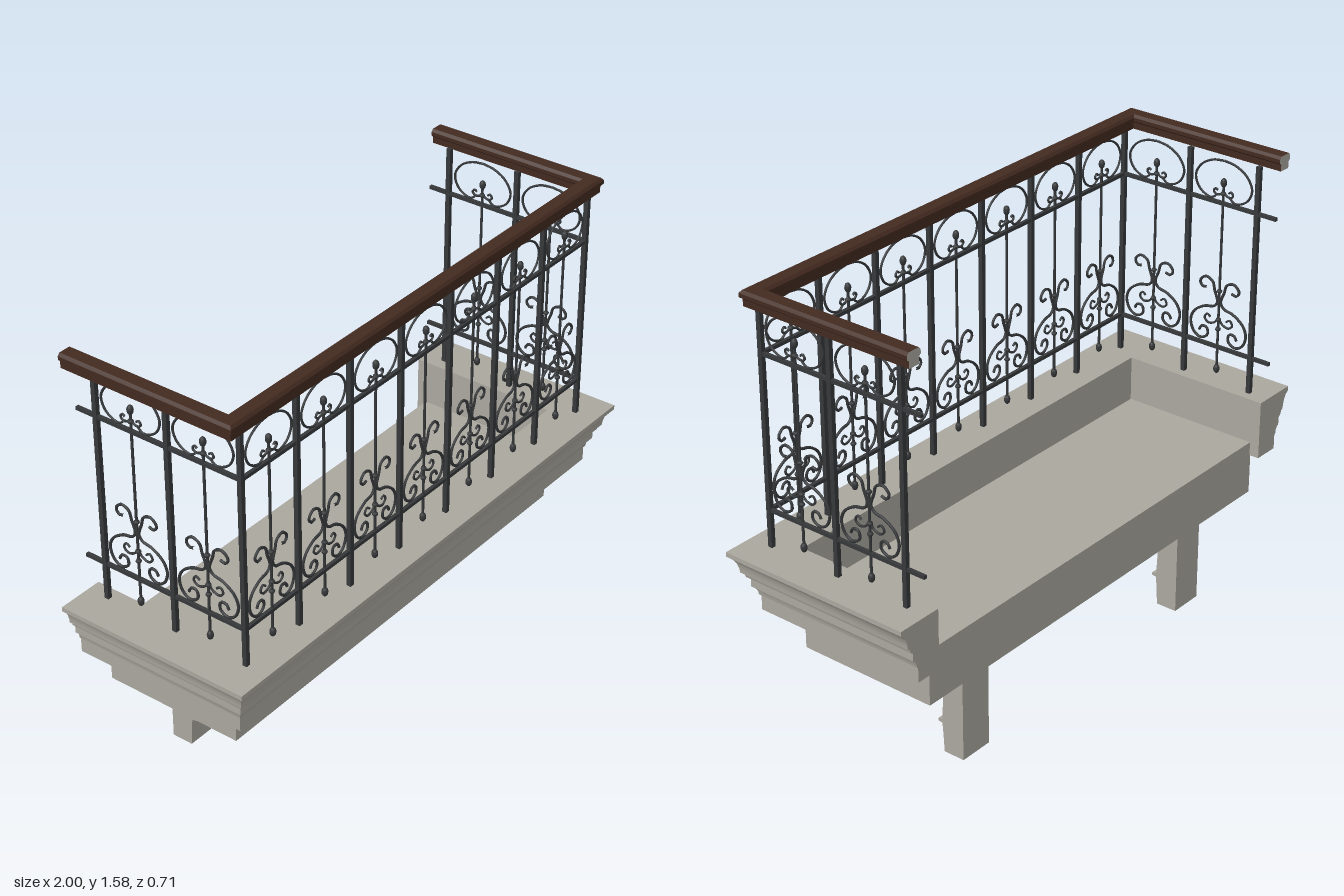
import * as THREE from 'three';
import { toCreasedNormals } from 'three/addons/utils/BufferGeometryUtils.js';

const stone = new THREE.MeshStandardMaterial({ color: 0xaaa79e });
stone.name = 'stone';
const iron = new THREE.MeshStandardMaterial({ color: 0x36383a });
iron.name = 'wrought iron';
const wood = new THREE.MeshStandardMaterial({ color: 0x432a20 });
wood.name = 'dark wood';

function add(parent, name, geometry, material, x = 0, y = 0, z = 0) {
  const mesh = new THREE.Mesh(geometry, material);
  mesh.name = name;
  mesh.position.set(x, y, z);
  parent.add(mesh);
  return mesh;
}

// Box given by its two opposite corners
function block(parent, name, material, a, b) {
  const s = a.map((v, i) => b[i] - v);
  const c = a.map((v, i) => (b[i] + v) / 2);
  return add(parent, name, new THREE.BoxGeometry(...s), material, ...c);
}

// Sweeps a clockwise [outward, height] profile round a mitred U, open at the back.
// Group 0 holds the sides, group 1 the two end caps.
function sweepU(profile, ax, az, back) {
  const stations = [
    (o) => [-(ax + o), back], (o) => [-(ax + o), az + o],
    (o) => [ax + o, az + o], (o) => [ax + o, back],
  ];
  const pos = [];
  const put = (s, j) => {
    const [o, y] = profile[j % profile.length];
    const [x, z] = stations[s](o);
    pos.push(x, y, z);
  };
  for (let s = 0; s < 3; s++) {
    for (let j = 0; j < profile.length; j++) {
      put(s, j); put(s, j + 1); put(s + 1, j + 1);
      put(s, j); put(s + 1, j + 1); put(s + 1, j);
    }
  }
  const sideCount = pos.length / 3;
  const last = profile.length - 1;
  const outline = profile.map(([o, y]) => new THREE.Vector2(o, y)).reverse();
  for (const [a, b, c] of THREE.ShapeUtils.triangulateShape(outline, [])) {
    put(0, last - a); put(0, last - b); put(0, last - c);
    put(3, last - c); put(3, last - b); put(3, last - a);
  }
  const geo = new THREE.BufferGeometry();
  geo.setAttribute('position', new THREE.Float32BufferAttribute(pos, 3));
  geo.addGroup(0, sideCount, 0);
  geo.addGroup(sideCount, pos.length / 3 - sideCount, 1);
  geo.computeVertexNormals();
  return toCreasedNormals(geo, 0.45);
}

// One ornamental bay of ironwork, centred on x = 0
function makePanel(width) {
  const panel = new THREE.Group();
  panel.name = 'scrollPanel';
  const k = width / 0.2745;
  const wire = (name, points, segments, radius) => {
    for (const side of [-1, 1]) {
      const curve = new THREE.CatmullRomCurve3(
        points.map(([u, y]) => new THREE.Vector3(side * u * k, y, 0)));
      add(panel, name, new THREE.TubeGeometry(curve, segments, radius, 6), iron);
    }
  };
  // Double scroll, open at the waist
  wire('largeScroll', [
    [0.05, 1.046], [0.069, 1.042], [0.08, 1.06], [0.058, 1.082], [0.029, 1.071],
    [0.02, 1.042], [0.007, 1.0], [0.02, 0.981], [0.058, 0.971], [0.1, 0.941],
    [0.114, 0.904], [0.1, 0.864], [0.071, 0.849], [0.043, 0.866], [0.047, 0.893],
    [0.068, 0.893], [0.077, 0.877],
  ], 56, 0.0048);
  wire('smallScroll', [
    [0, 0.945], [0.015, 0.922], [0.042, 0.914], [0.057, 0.929], [0.046, 0.945], [0.032, 0.936],
  ], 20, 0.004);
  wire('topCurl', [
    [0, 1.407], [0.012, 1.393], [0.03, 1.39], [0.039, 1.4], [0.031, 1.41], [0.022, 1.404],
  ], 20, 0.004);
  // Oval arch under the handrail
  wire('ovalArch', [
    [0, 1.515], [0.045, 1.508], [0.09, 1.482], [0.113, 1.44], [0.1, 1.4],
    [0.07, 1.378], [0.045, 1.374], [0.027, 1.388],
  ], 32, 0.004);
  // Central bar with finials and collars
  add(panel, 'centreBar', new THREE.CylinderGeometry(0.0045, 0.0045, 0.69, 8), iron, 0, 1.092, 0);
  for (const y of [0.75, 1.437]) {
    add(panel, 'finial', new THREE.SphereGeometry(0.011, 10, 8), iron, 0, y, 0).scale.y = 1.5;
  }
  for (const y of [0.9, 0.935, 1.042, 1.397]) {
    add(panel, 'collar', new THREE.SphereGeometry(0.01, 8, 6), iron, 0, y, 0).scale.y = 0.8;
  }
  return panel;
}

export function createModel() {
  const model = new THREE.Group();
  model.name = 'balcony';

  // Floor slab
  block(model, 'floorSlab', stone, [-0.84, 0.345, -0.32], [0.84, 0.54, 0.19]);

  // Moulded parapet round three sides
  const cornice = [
    [0, 0.702], [0, 0.686], [-0.012, 0.677], [-0.022, 0.66], [-0.027, 0.64], [-0.028, 0.627],
    [-0.036, 0.624], [-0.04, 0.61], [-0.048, 0.604], [-0.05, 0.602], [-0.05, 0.575],
    [-0.058, 0.57], [-0.064, 0.558], [-0.066, 0.545], [-0.071, 0.543], [-0.071, 0.49],
    [-0.165, 0.49], [-0.165, 0.702],
  ];
  add(model, 'cornice', sweepU(cornice, 1, 0.356, -0.356), [stone, stone]);

  // Wooden handrail with pale cut ends
  const rail = [
    [0, 1.57], [0, 1.557], [-0.008, 1.55], [-0.008, 1.527], [-0.05, 1.527], [-0.05, 1.55],
    [-0.058, 1.557], [-0.058, 1.57], [-0.05, 1.579], [-0.008, 1.579],
  ];
  add(model, 'handrail', sweepU(rail, 0.941, 0.296, -0.352), [wood, stone]);

  // Stone brackets
  const bracket = new THREE.Shape([
    [-0.265, 0], [-0.187, 0], [-0.184, 0.055], [-0.18, 0.105], [-0.163, 0.108], [-0.163, 0.117],
    [-0.18, 0.12], [-0.184, 0.2], [-0.178, 0.224], [-0.159, 0.238], [-0.155, 0.28],
    [-0.096, 0.28], [-0.09, 0.274], [-0.081, 0.278], [-0.079, 0.297], [-0.056, 0.312],
    [-0.054, 0.328], [-0.042, 0.347], [-0.265, 0.347],
  ].map(([z, y]) => new THREE.Vector2(-z, y)));
  const bracketGeo = new THREE.ExtrudeGeometry(bracket, { depth: 0.125, bevelEnabled: false });
  bracketGeo.rotateY(Math.PI / 2);
  for (const x of [-0.627, 0.5]) add(model, 'bracket', bracketGeo, stone, x, 0, 0);

  // Railing
  const left = 0.886, right = -0.876, front = 0.271;
  const bay = (left - right) / 7, sideBay = 0.2745;
  const post = (x, z) => block(model, 'post', iron,
    [x - 0.008, 0.7, z - 0.008], [x + 0.008, 1.53, z + 0.008]);
  for (let i = 0; i <= 7; i++) post(right + bay * i, front);
  for (const y of [0.833, 1.363]) {
    block(model, 'frontRail', iron, [right, y - 0.006, front - 0.006], [left, y + 0.006, front + 0.006]);
  }
  const frontPanel = makePanel(bay);
  for (let i = 0; i < 7; i++) {
    const panel = frontPanel.clone();
    panel.position.set(right + bay * (i + 0.5), 0, front);
    model.add(panel);
  }

  // Side returns
  const sidePanel = makePanel(sideBay);
  for (const x of [right, left]) {
    for (const y of [0.833, 1.363]) {
      block(model, 'sideRail', iron, [x - 0.006, y - 0.006, -0.354], [x + 0.006, y + 0.006, front]);
    }
    for (let i = 0; i < 2; i++) {
      post(x, front - sideBay * (i + 1));
      const panel = sidePanel.clone();
      panel.position.set(x, 0, front - sideBay * (i + 0.5));
      panel.rotation.y = Math.PI / 2;
      model.add(panel);
    }
  }
  return model;
}
